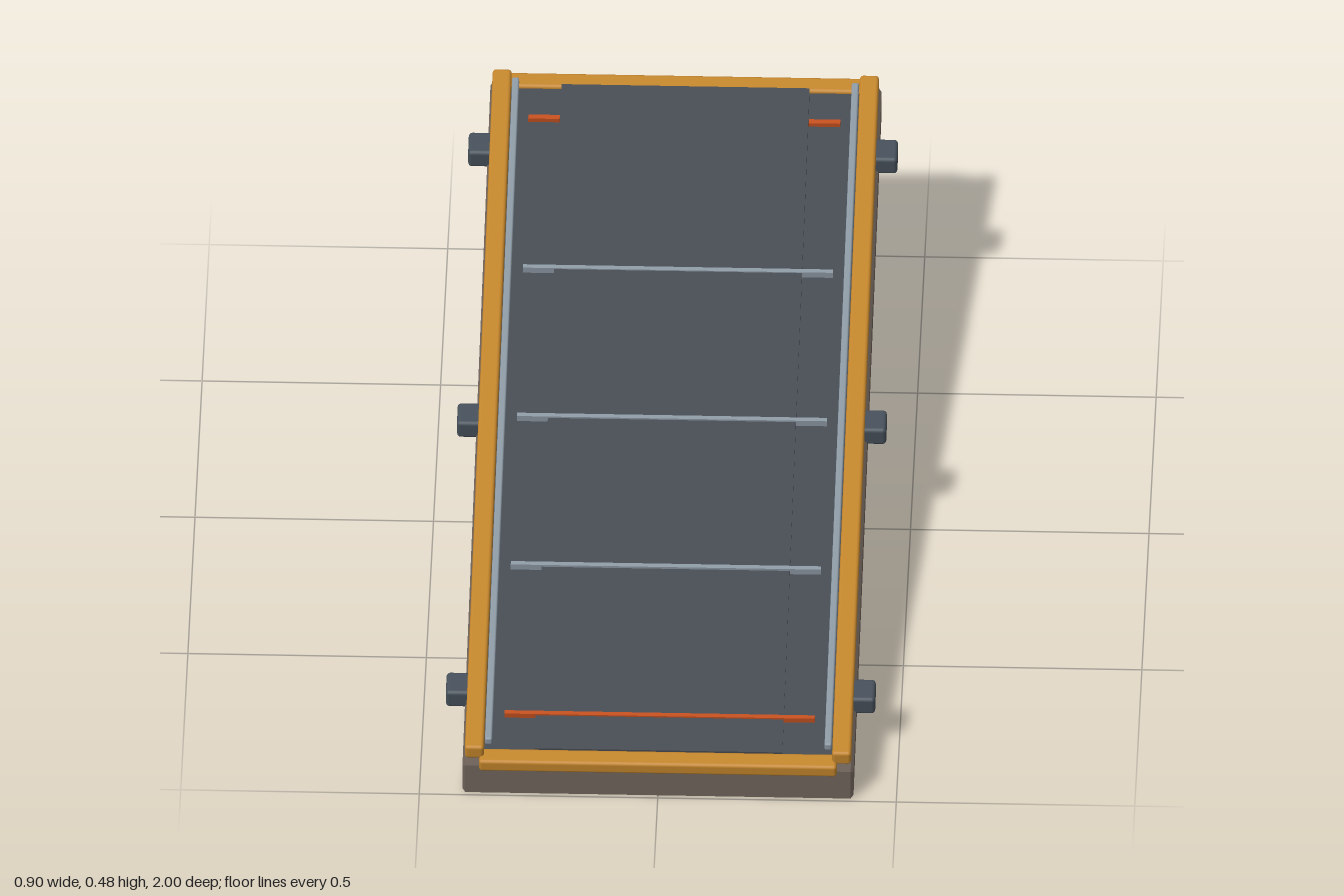
import * as THREE from 'three';
import { RoundedBoxGeometry } from 'three/addons/geometries/RoundedBoxGeometry.js';

const SLOPE = 0.186;
const TILT = Math.atan(SLOPE);

const mat = (color) => new THREE.MeshStandardMaterial({ color });

export function createModel() {
  const model = new THREE.Group();
  model.name = 'ramp';
  const brown = mat(0x6b5f57), gold = mat(0xc4862c), dark = mat(0x474c53);
  const slate = mat(0x46505a), steel = mat(0x8d9aa5), orange = mat(0xc4501f);

  // Sloped base slab with vertical ends
  const end = 0.99, mid = end * SLOPE, thick = 0.068, bevel = 0.006;
  const side = new THREE.Shape([
    new THREE.Vector2(-end, 0),
    new THREE.Vector2(end, 2 * mid),
    new THREE.Vector2(end, 2 * mid + thick),
    new THREE.Vector2(-end, thick),
  ]);
  const baseGeo = new THREE.ExtrudeGeometry(side, {
    depth: 0.82 - 2 * bevel, bevelThickness: bevel, bevelSize: bevel,
    bevelOffset: -bevel, bevelSegments: 1,
  });
  baseGeo.translate(0, 0, -0.41 + bevel);
  baseGeo.rotateY(Math.PI / 2);
  const base = new THREE.Mesh(baseGeo, brown);
  base.name = 'base';
  model.add(base);

  // Everything else lies in the tilted plane of the base top
  const top = new THREE.Group();
  top.name = 'deckAssembly';
  top.position.y = mid + thick;
  top.rotation.x = TILT;
  model.add(top);

  const add = (name, geo, material, x, y, z) => {
    const mesh = new THREE.Mesh(geo, material);
    mesh.name = name;
    mesh.position.set(x, y, z);
    top.add(mesh);
    return mesh;
  };
  const box = (name, material, [w, h, d], [x, y, z]) =>
    add(name, new THREE.BoxGeometry(w, h, d), material, x, y, z);
  const rounded = (name, material, [w, h, d], [x, y, z], r) =>
    add(name, new RoundedBoxGeometry(w, h, d, 2, r), material, x, y, z);

  // Deck with a raised centre panel, a touch higher at the back
  box('deck', dark, [0.77, 0.018, 1.96], [0, 0.005, 0]);
  const panel = box('centrePanel', dark, [0.52, 0.018, 1.95], [0, 0.016, 0]);
  panel.rotation.x = 0.003;

  // Cross strips
  for (const z of [-0.437, 0, 0.437]) {
    box('crossStrip', steel, [0.65, 0.016, 0.01], [0, 0.021, z]);
  }
  box('frontMarker', orange, [0.65, 0.016, 0.01], [0, 0.018, 0.873]);

  // End beams with mitred corners
  for (const s of [-1, 1]) {
    rounded('endBeam', gold, [0.75, 0.03, 0.042], [0, 0.006, s * 0.995], 0.007);
  }

  for (const s of [-1, 1]) {
    box('backMarker', orange, [0.066, 0.014, 0.012], [s * 0.294, 0.017, -0.882]);

    // Side curb and the steel guide along its inside
    rounded('sideCurb', gold, [0.04, 0.034, 2.0], [s * 0.385, 0.03, 0], 0.007);
    rounded('guideRail', steel, [0.015, 0.018, 1.95], [s * 0.356, 0.039, 0], 0.004);

    // Side brackets
    for (const z of [-0.797, 0, 0.793]) {
      rounded('sideBracket', slate, [0.07, 0.044, 0.064], [s * 0.415, 0.009, z], 0.008);
    }
  }
  return model;
}
